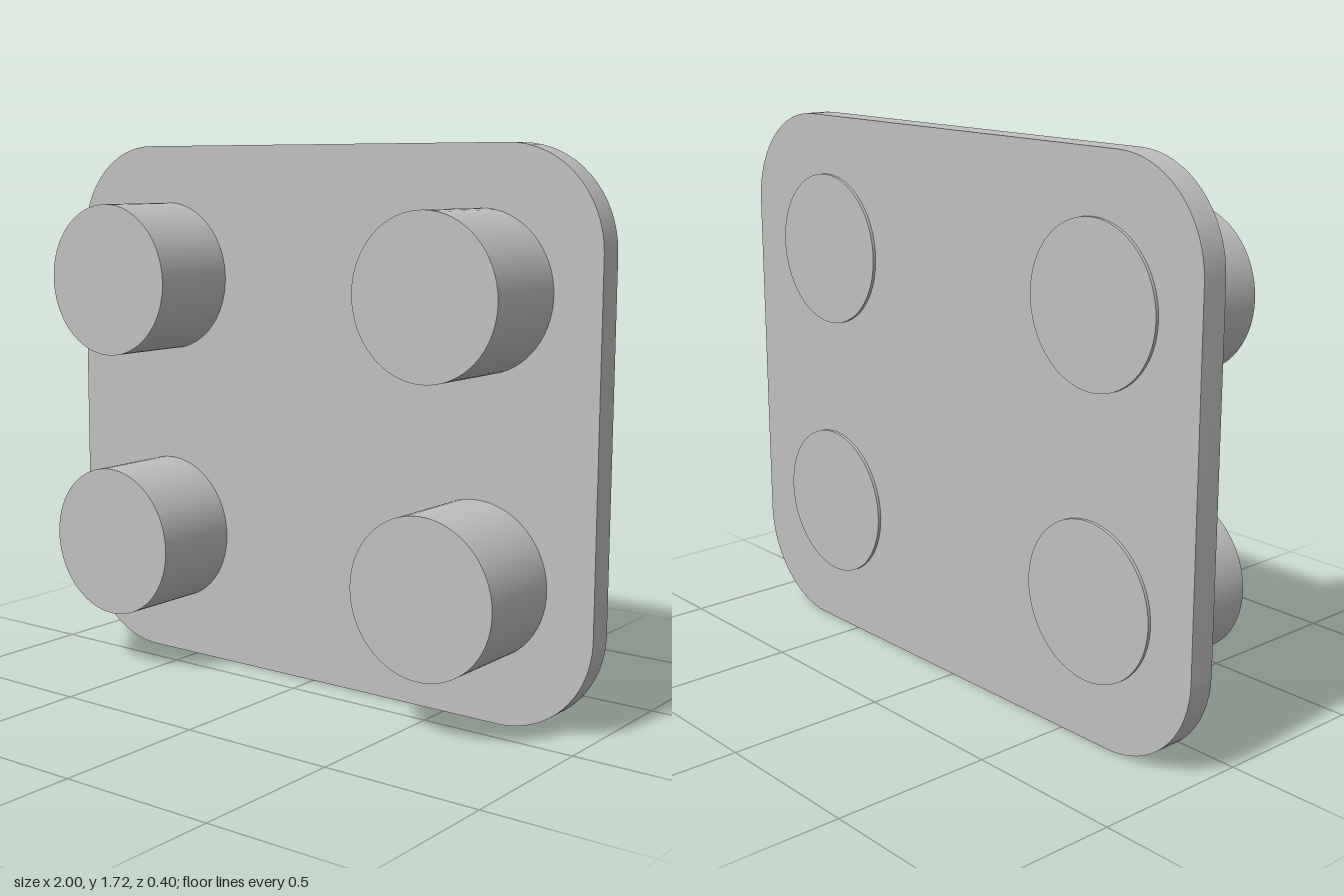
import * as THREE from 'three';
import { toCreasedNormals } from 'three/addons/utils/BufferGeometryUtils.js';

const WIDTH = 2, HEIGHT = 1.715, CORNER = 0.31;
const PLATE_BACK = -0.188, PLATE_FRONT = -0.105;
const PEG_RADIUS = 0.242, PEG_LENGTH = 0.396;

// Rounded rectangle centred on the origin
function roundedRect(w, h, r) {
  const x = w / 2 - r, y = h / 2 - r;
  const shape = new THREE.Shape();
  shape.absarc(x, y, r, 0, Math.PI / 2);
  shape.absarc(-x, y, r, Math.PI / 2, Math.PI);
  shape.absarc(-x, -y, r, Math.PI, Math.PI * 1.5);
  shape.absarc(x, -y, r, Math.PI * 1.5, Math.PI * 2);
  shape.closePath();
  return shape;
}

export function createModel() {
  const group = new THREE.Group();
  group.name = 'peggedPlate';
  const grey = new THREE.MeshStandardMaterial({ color: 0xbfbfbf });
  grey.name = 'lightGrey';

  // Upright base plate
  const plateGeometry = new THREE.ExtrudeGeometry(roundedRect(WIDTH, HEIGHT, CORNER), {
    depth: PLATE_FRONT - PLATE_BACK, bevelEnabled: false, curveSegments: 8,
  });
  const plate = new THREE.Mesh(toCreasedNormals(plateGeometry, 0.5), grey);
  plate.name = 'plate';
  plate.position.set(0, HEIGHT / 2, PLATE_BACK);
  group.add(plate);

  // Four round pegs passing through the plate, slightly proud at the back
  const pegGeometry = new THREE.CylinderGeometry(PEG_RADIUS, PEG_RADIUS, PEG_LENGTH, 64);
  pegGeometry.rotateX(Math.PI / 2);
  for (const [row, y] of [['lower', 0.43], ['upper', 1.287]]) {
    for (const [side, x] of [['Left', 0.605], ['Right', -0.605]]) {
      const peg = new THREE.Mesh(pegGeometry, grey);
      peg.name = `${row}${side}Peg`;
      peg.position.set(x, y, 0);
      group.add(peg);
    }
  }
  return group;
}
